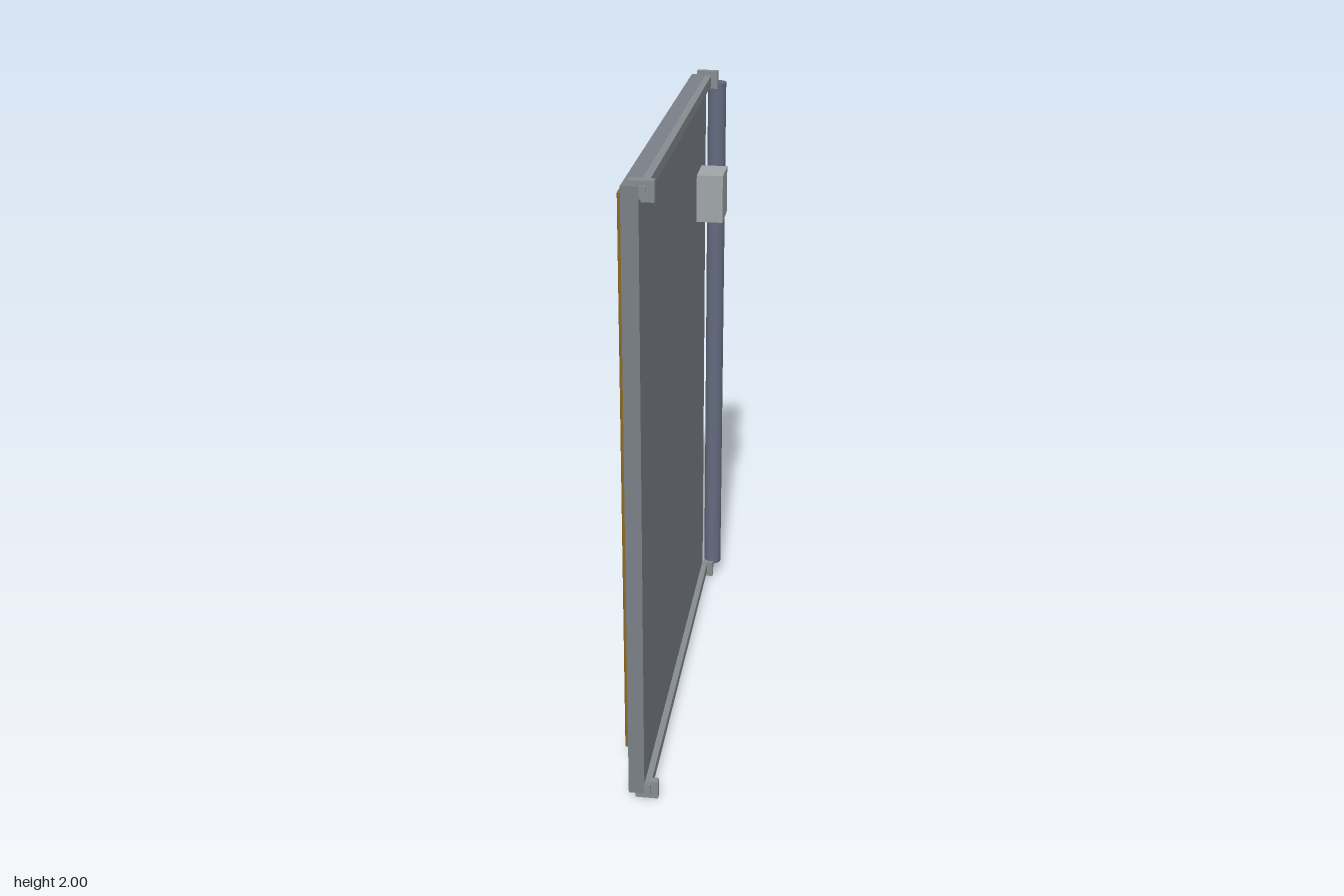
import * as THREE from 'three';
import { RoundedBoxGeometry } from 'three/addons/geometries/RoundedBoxGeometry.js';

const mat = (color) => new THREE.MeshStandardMaterial({ color });
const M = {
  slab: mat(0x7a8088), rail: mat(0x868c90), box: mat(0xa0a6a8), post: mat(0x636a7e),
  light: mat(0x8a9094), dark: mat(0x666a74), rib: mat(0x7c8288),
  window: mat(0x36424f), bar: mat(0x30363c), gold: mat(0x8a6a24),
};

export function createModel() {
  const group = new THREE.Group();

  const add = (name, geometry, material, x = 0, y = 0, z = 0) => {
    const mesh = new THREE.Mesh(geometry, material);
    mesh.name = name;
    mesh.position.set(x, y, z);
    group.add(mesh);
    return mesh;
  };
  // Block given by its extents; an optional radius softens the edges
  const block = (name, material, [x0, x1], [y0, y1], [z0, z1], radius = 0) => {
    const size = [x1 - x0, y1 - y0, z1 - z0];
    const geometry = radius ? new RoundedBoxGeometry(...size, 2, radius) : new THREE.BoxGeometry(...size);
    return add(name, geometry, material, (x0 + x1) / 2, (y0 + y1) / 2, (z0 + z1) / 2);
  };

  // Door leaf with a rail along its top and bottom edge
  block('slab', M.slab, [-0.05, 0], [0.02, 1.985], [-0.7, 0.755]);
  block('topRail', M.rail, [-0.002, 0.02], [1.95, 1.985], [-0.7, 0.755]);
  block('bottomRail', M.rail, [-0.002, 0.02], [0.02, 0.055], [-0.7, 0.755]);

  // Hooked corner clips
  const hook = new THREE.Shape([
    [-0.03, 0.975], [0.005, 0.975], [0.005, 0.94], [0.042, 0.94], [0.042, 1], [-0.03, 1],
  ].map(([x, y]) => new THREE.Vector2(x, y)));
  const clipGeometry = new THREE.ExtrudeGeometry(hook, { depth: 0.026, bevelEnabled: false });
  clipGeometry.translate(0, 0, -0.013);
  for (const z of [-0.694, 0.735]) {
    add('topClip', clipGeometry, M.rail, 0, 1, z);
    add('bottomClip', clipGeometry, M.rail, 0, 1, z).rotation.x = Math.PI;
  }

  // Hinge post and lock box
  add('hingePost', new THREE.CylinderGeometry(0.032, 0.032, 1.905, 32), M.post, 0.036, 1.0025, -0.725);
  block('lockBox', M.box, [0, 0.09], [1.525, 1.69], [-0.592, -0.457]);

  // Four raised panels, each with upright ribs and a dark window
  for (let i = 0; i < 4; i++) {
    const y = 1.685 - i * 0.4535;
    block('panel', i % 2 ? M.dark : M.light, [-0.066, -0.05], [y - 0.178, y + 0.178], [-0.473, 0.423]);
    for (let j = 0; j < 5; j++) {
      const z = -0.36 + j * 0.14;
      block('rib', i % 2 ? M.dark : M.rib, [-0.082, -0.064], [y - 0.14, y + 0.14], [z - 0.013, z + 0.013], 0.005);
    }
    block('window', M.window, [-0.096, -0.083], [y - 0.128, y + 0.128], [-0.386, -0.116], 0.003);
  }

  // Thin rods across the two lower panels
  const rod = new THREE.CylinderGeometry(0.008, 0.008, 0.45, 12);
  for (let i = 0; i < 4; i++) add('rod', rod, M.bar, -0.068, 0.555, 0.22 + i * 0.06);

  // Long upright bars
  block('darkBar', M.bar, [-0.095, -0.075], [0.1, 1.905], [-0.443, -0.41], 0.005);
  block('goldBar', M.gold, [-0.087, -0.07], [0.08, 1.925], [0.557, 0.602], 0.004);

  // Row of studs
  const stud = new THREE.CylinderGeometry(0.013, 0.013, 0.017, 20).rotateZ(Math.PI / 2);
  for (let i = 0; i < 8; i++) add('stud', stud, M.rib, -0.068, 0.2 + i * 0.2314, -0.605);

  return group;
}
